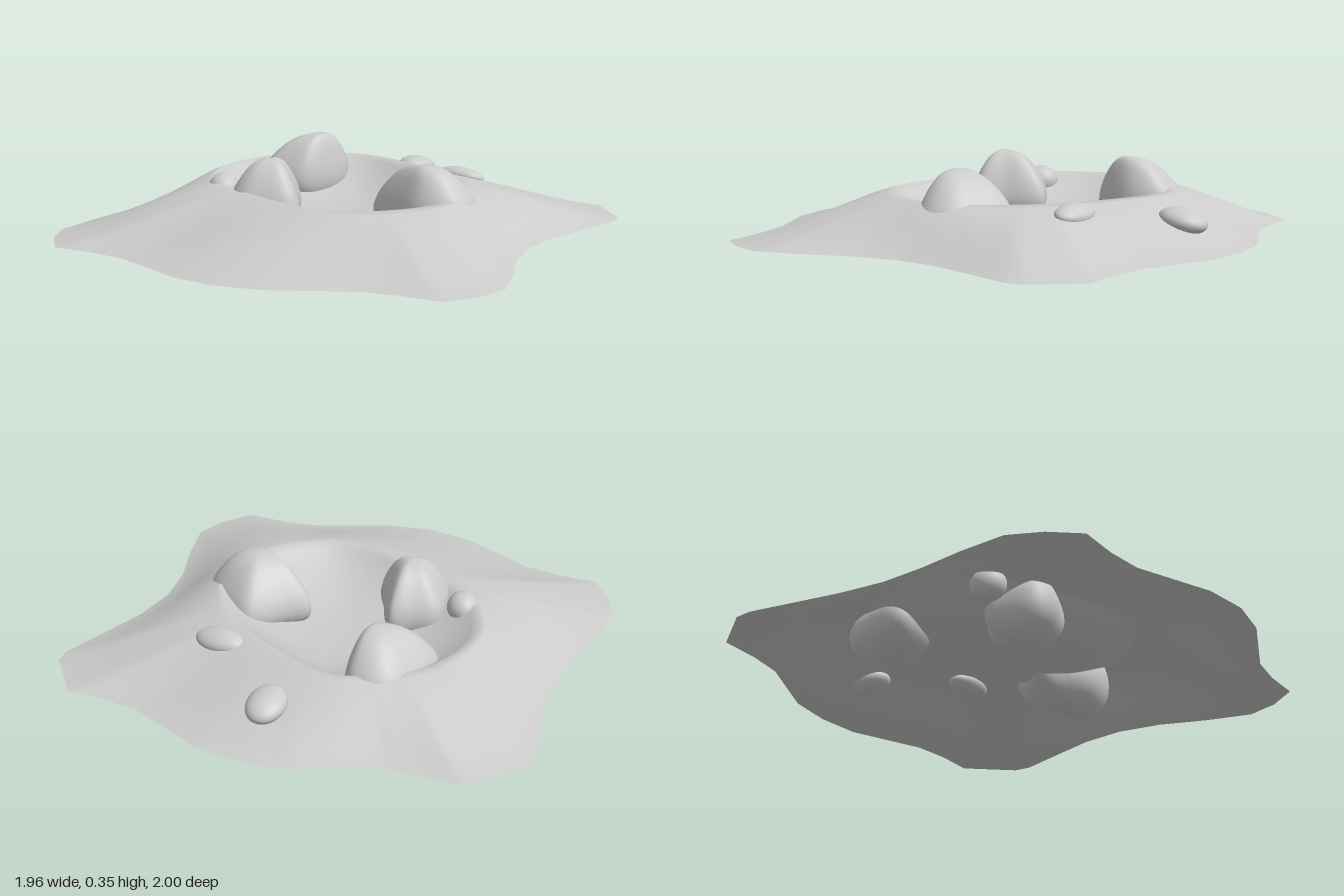
import * as THREE from 'three';
import { mergeVertices } from 'three/addons/utils/BufferGeometryUtils.js';

const mix = THREE.MathUtils.lerp;

// Skins a stack of closed rings of [x, y, z] points with smooth normals.
function loft(rings) {
  const n = rings[0].length;
  const index = [];
  for (let j = 0; j < rings.length - 1; j++) {
    for (let i = 0; i < n; i++) {
      const k = (i + 1) % n;
      const a = j * n + i, b = j * n + k, c = a + n, d = b + n;
      index.push(a, b, c, b, d, c);
    }
  }
  let g = new THREE.BufferGeometry();
  g.setAttribute('position', new THREE.Float32BufferAttribute(rings.flat(2), 3));
  g.setIndex(index);
  g = mergeVertices(g, 1e-5);
  g.computeVertexNormals();
  return g;
}

// Smooth closed curve through [x, z] points.
function smooth(points, count) {
  const curve = new THREE.CatmullRomCurve3(points.map(([x, z]) => new THREE.Vector3(x, 0, z)), true);
  return curve.getPoints(count).slice(0, count).map((p) => [p.x, p.z]);
}

// Point where the ray from a centre towards a target meets a closed outline.
function hit(outline, [cx, cz], [tx, tz]) {
  const dx = tx - cx, dz = tz - cz;
  for (let i = 0; i < outline.length; i++) {
    const [ax, az] = outline[i], [bx, bz] = outline[(i + 1) % outline.length];
    const ex = bx - ax, ez = bz - az, det = ex * dz - ez * dx;
    if (Math.abs(det) < 1e-9) continue;
    const px = ax - cx, pz = az - cz;
    const r = (ex * pz - ez * px) / det;
    const s = (dx * pz - dz * px) / det;
    if (r > 0 && s >= -1e-6 && s <= 1 + 1e-6) return [cx + dx * r, cz + dz * r];
  }
  return [cx, cz];
}

// Crater ground: a bowl up to the rim, then a slope down to the wavy border.
function craterGeometry() {
  const corners = [
    [0, -1], [0.19, -0.98], [0.5, -0.845], [0.65, -0.825], [0.82, -0.825], [0.97, -0.64],
    [0.975, -0.57], [0.91, -0.38], [0.845, -0.185], [0.82, 0], [0.845, 0.185], [0.91, 0.38],
    [0.955, 0.57], [0.91, 0.7], [0.82, 0.815], [0.65, 0.815], [0.5, 0.835], [0.19, 0.97],
    [0, 1], [-0.19, 0.97], [-0.5, 0.835], [-0.65, 0.815], [-0.82, 0.815], [-0.91, 0.7],
    [-0.965, 0.57], [-0.95, 0.38], [-0.92, 0.185], [-0.905, 0], [-0.92, -0.185], [-0.95, -0.38],
    [-0.98, -0.57], [-0.97, -0.64], [-0.82, -0.825], [-0.65, -0.825], [-0.5, -0.845], [-0.19, -0.98],
  ];
  const border = corners.flatMap(([x, z], i) => {
    const [nx, nz] = corners[(i + 1) % corners.length];
    return [0, 0.25, 0.5, 0.75].map((t) => [mix(x, nx, t), mix(z, nz, t)]);
  });
  const rimCurve = smooth([
    [-0.2, -0.57], [0.1, -0.48], [0.34, -0.33], [0.52, -0.06], [0.5, 0.17], [0.22, 0.43],
    [-0.2, 0.34], [-0.48, 0.16], [-0.59, -0.1], [-0.48, -0.41],
  ], 80);
  const centre = [0, -0.05];
  const rim = border.map((b) => hit(rimCurve, centre, b));
  const inner = 18, outer = 16, floor = 0.09, top = 0.235, base = 0.06;
  const rings = [];
  for (let j = 0; j <= inner; j++) {
    const t = j / inner;
    const y = mix(floor, top, t ** 2.7);
    rings.push(rim.map(([x, z]) => [mix(centre[0], x, t), y, mix(centre[1], z, t)]));
  }
  for (let j = 1; j <= outer; j++) {
    const t = j / outer;
    const y = mix(top, base, mix(t, THREE.MathUtils.smoothstep(t, 0, 1), 0.4));
    rings.push(rim.map(([x, z], i) => [mix(x, border[i][0], t), y, mix(z, border[i][1], t)]));
  }
  return loft(rings);
}

// Boulder: plan outline closing towards an off-centre peak and a fuller, off-centre foot.
function boulderGeometry({ plan, peak, foot, waist }) {
  const outline = smooth(plan, 48);
  const rings = [];
  for (let j = 0; j <= 24; j++) {
    const a = Math.PI * (0.5 - j / 24);
    const tip = a > 0 ? peak : foot;
    const spread = Math.cos(a) * (1 - 0.3 * Math.sin(a) * Math.cos(a));
    const y = mix(waist, tip[1], Math.abs(Math.sin(a)));
    rings.push(outline.map(([x, z]) => [mix(tip[0], x, spread), y, mix(tip[2], z, spread)]));
  }
  return loft(rings);
}

export function createModel() {
  const model = new THREE.Group();
  const material = new THREE.MeshStandardMaterial({ color: 0xcccccc });
  const ground = material.clone();
  ground.side = THREE.DoubleSide;
  const add = (name, geometry, mat = material) => {
    const mesh = new THREE.Mesh(geometry, mat);
    mesh.name = name;
    model.add(mesh);
    return mesh;
  };

  add('craterGround', craterGeometry(), ground);

  // Three large boulders sitting on the rim
  add('backBoulder', boulderGeometry({
    plan: [[-0.41, -0.53], [-0.33, -0.565], [-0.24, -0.545], [-0.195, -0.42], [-0.24, -0.28],
      [-0.29, -0.225], [-0.38, -0.215], [-0.465, -0.225], [-0.495, -0.27], [-0.47, -0.4]],
    peak: [-0.27, 0.355, -0.36], foot: [-0.31, 0.045, -0.36], waist: 0.21,
  }));
  add('frontBoulder', boulderGeometry({
    plan: [[-0.2, 0], [-0.16, 0.04], [-0.12, 0.13], [-0.07, 0.23], [-0.09, 0.27], [-0.18, 0.31],
      [-0.27, 0.33], [-0.34, 0.29], [-0.365, 0.18], [-0.36, 0.09], [-0.28, 0.04]],
    peak: [-0.21, 0.355, 0.19], foot: [-0.26, 0.025, 0.2], waist: 0.2,
  }));
  add('sideBoulder', boulderGeometry({
    plan: [[0.16, -0.01], [0.24, -0.1], [0.34, -0.2], [0.43, -0.18], [0.57, -0.08], [0.595, 0.02],
      [0.55, 0.1], [0.42, 0.135], [0.27, 0.065]],
    peak: [0.39, 0.352, 0.03], foot: [0.47, 0.005, 0.02], waist: 0.19,
  }));

  // Small stones: position, half sizes, tilt
  const stones = [
    ['backStone', [0, 0.163, -0.755], [0.077, 0.048, 0.1], [-0.2, 0, 0]],
    ['slopeStone', [0.333, 0.208, -0.47], [0.105, 0.038, 0.06], [-0.3, -0.08, -0.06]],
    ['rimStone', [-0.447, 0.2, 0.157], [0.065, 0.065, 0.072], [0, 0.4, 0]],
  ];
  for (const [name, position, size, tilt] of stones) {
    const stone = add(name, new THREE.SphereGeometry(1, 32, 20));
    stone.position.set(...position);
    stone.scale.set(...size);
    stone.rotation.set(...tilt);
  }
  return model;
}
